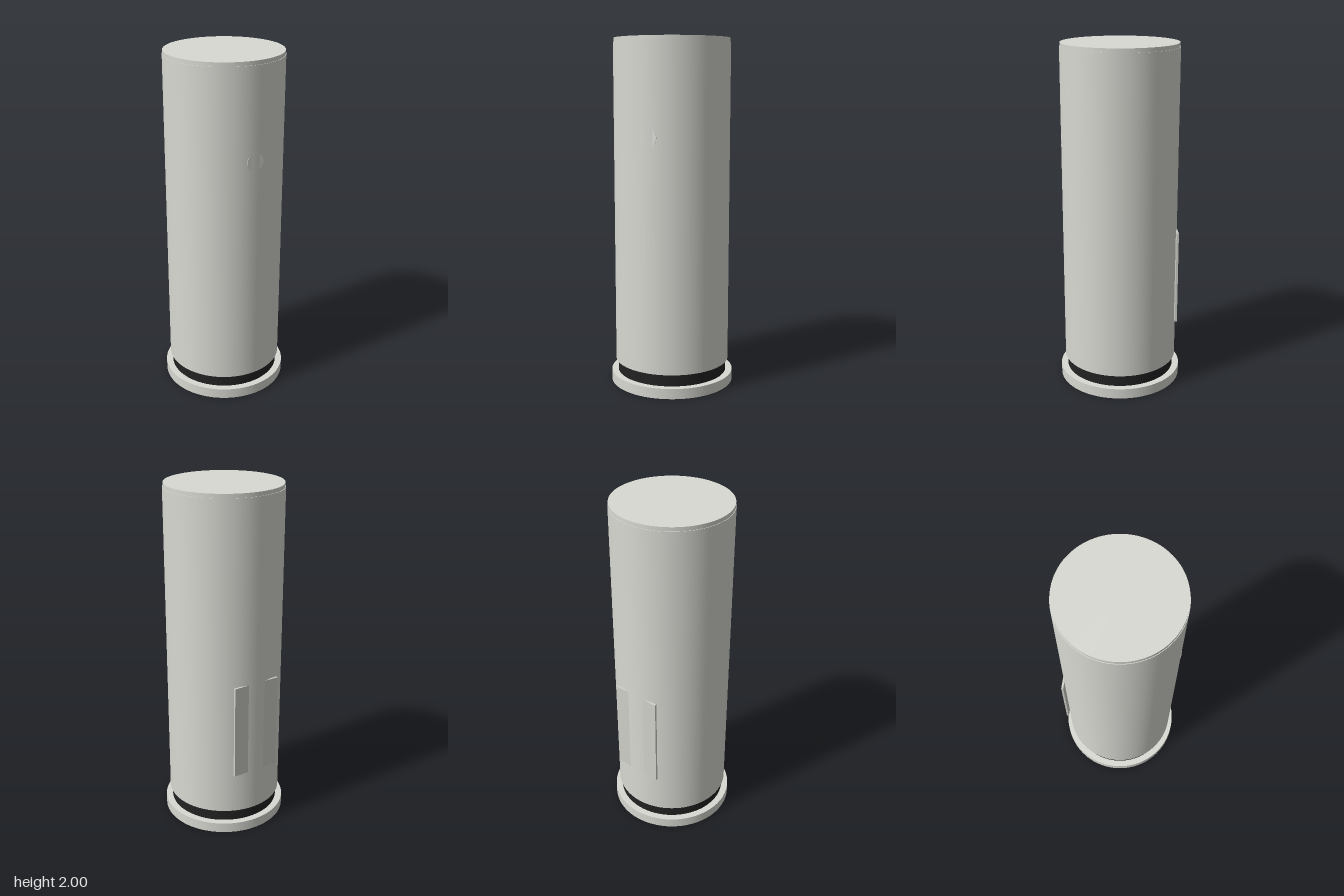
import * as THREE from 'three';

const material = (name, color) => {
  const m = new THREE.MeshStandardMaterial({ color });
  m.name = name;
  return m;
};

export function createModel() {
  const group = new THREE.Group();
  const shell = material('warm light grey', 0xd8d9d2);
  const rubber = material('black', 0x222222);
  const hatch = material('panel grey', 0xd0d1ca);
  const pale = material('pale grey', 0xdedfd8);

  const add = (name, geometry, mat, x, y, z) => {
    const mesh = new THREE.Mesh(geometry, mat);
    mesh.name = name;
    mesh.position.set(x, y, z);
    group.add(mesh);
    return mesh;
  };

  // Stacked round sections: name, radius, bottom, top
  const sections = [
    ['baseFlange', 0.359, 0, 0.06, shell],
    ['shadowRing', 0.32, 0.06, 0.13, rubber],
    ['body', 0.333, 0.13, 1.977, shell],
    ['topCap', 0.33, 1.977, 2, shell],
  ];
  for (const [name, radius, bottom, top, mat] of sections) {
    const geometry = new THREE.CylinderGeometry(radius, radius, top - bottom, 96);
    add(name, geometry, mat, 0, (bottom + top) / 2, 0);
  }

  // Flat service panel, its middle sunk just below the curve of the back
  add('backPanel', new THREE.BoxGeometry(0.29, 0.555, 0.012), hatch, 0, 0.655, -0.3225);

  // Small flat disc set into the upper front
  const disc = add('frontDisc', new THREE.CylinderGeometry(0.05, 0.05, 0.006, 32), pale, 0, 1.46, 0.329);
  disc.rotation.x = Math.PI / 2;

  return group;
}
